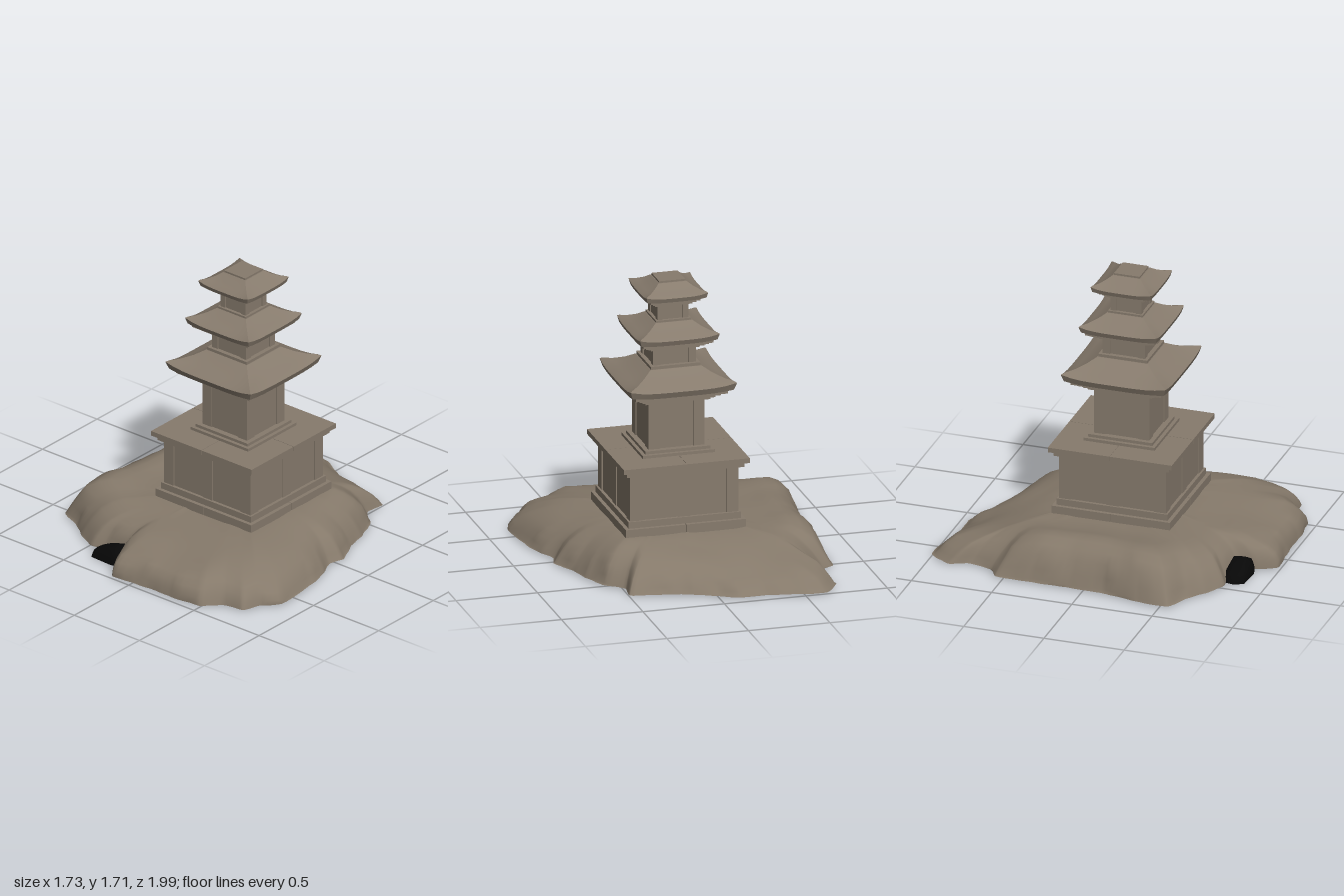
import * as THREE from 'three';
import { toCreasedNormals } from 'three/addons/utils/BufferGeometryUtils.js';

const CX = 0.048, CZ = 0.006; // the tower stands slightly off the middle of the rock
const stone = new THREE.MeshStandardMaterial({ color: 0x877b6d });
stone.name = 'weathered stone';
const rockStone = new THREE.MeshStandardMaterial({ color: 0x85796a, side: THREE.DoubleSide });
rockStone.name = 'rock';
const black = new THREE.MeshStandardMaterial({ color: 0x080808, side: THREE.DoubleSide });
black.name = 'hollow black';

const ramp = THREE.MathUtils.smoothstep;
const lerp = THREE.MathUtils.lerp;

function addMesh(parent, name, geometry, material = stone) {
  const mesh = new THREE.Mesh(geometry, material);
  mesh.name = name;
  parent.add(mesh);
  return mesh;
}

// Skin over closed rings of points, listed from the bottom up
function loft(rings) {
  const n = rings[0].length, pos = [], index = [];
  rings.forEach(r => r.forEach(p => pos.push(p.x, p.y, p.z)));
  for (let j = 0; j < rings.length - 1; j++) {
    for (let i = 0; i < n; i++) {
      const a = j * n + i, c = j * n + (i + 1) % n;
      index.push(a, a + n, c, c, a + n, c + n);
    }
  }
  const g = new THREE.BufferGeometry();
  g.setAttribute('position', new THREE.Float32BufferAttribute(pos, 3));
  g.setIndex(index);
  g.computeVertexNormals();
  return g;
}

// Square block between two heights
function slab(parent, name, half, y0, y1) {
  const m = addMesh(parent, name, new THREE.BoxGeometry(half * 2, y1 - y0, half * 2));
  m.position.y = (y0 + y1) / 2;
}

// Square course made of four stones with fine joints over a solid core
function jointedSlab(parent, name, half, y0, y1) {
  const joint = 0.0015, w = half - joint;
  slab(parent, name + 'Core', half - 0.006, y0 + 0.002, y1 - 0.002);
  for (const sx of [-1, 1]) for (const sz of [-1, 1]) {
    const m = addMesh(parent, name, new THREE.BoxGeometry(w, y1 - y0, w));
    m.position.set(sx * (joint + w / 2), (y0 + y1) / 2, sz * (joint + w / 2));
  }
}

// Storey with raised corner posts and, if asked, a middle post on each face
function storey(parent, name, half, y0, y1, post, middle) {
  const out = 0.007, y = (y0 + y1) / 2, h = y1 - y0;
  slab(parent, name + 'Walls', half - out, y0, y1);
  for (const sx of [-1, 1]) for (const sz of [-1, 1]) {
    const m = addMesh(parent, name + 'CornerPost', new THREE.BoxGeometry(post, h, post));
    m.position.set(sx * (half - post / 2), y, sz * (half - post / 2));
  }
  if (!middle) return;
  const bar = half * 2 - 0.002;
  addMesh(parent, name + 'MiddlePost', new THREE.BoxGeometry(post, h, bar)).position.y = y;
  addMesh(parent, name + 'MiddlePost', new THREE.BoxGeometry(bar, h, post)).position.y = y;
}

// Square ring whose corners lift
function squareRing(half, y, lift) {
  const n = 10, ring = [];
  for (let side = 0; side < 4; side++) {
    for (let i = 0; i < n; i++) {
      const u = -1 + 2 * i / n;
      const [x, z] = [[1, u], [-u, 1], [-1, -u], [u, -1]][side];
      ring.push(new THREE.Vector3(x * half, y + lift * Math.abs(u) ** 4, z * half));
    }
  }
  return ring;
}

// Curved hipped roof carried on stepped courses
function roof(parent, name, { wall, steps, eave, top, y0, y1, y2 }) {
  const stepH = (y1 - y0) / steps.length;
  steps.forEach((half, i) => slab(parent, name + 'Step', half, y0 + i * stepH, y0 + (i + 1) * stepH));
  const rise = y2 - y1, lip = rise * 0.28, run = eave - top;
  const g = loft([
    squareRing(wall, y1, 0),
    squareRing(eave * 0.955, y1, rise * 0.1),
    squareRing(eave, y1 + lip, rise * 0.18),
    squareRing(eave - run * 0.08, y1 + lip * 1.25, rise * 0.17),
    squareRing(eave - run * 0.35, y1 + rise * 0.5, rise * 0.08),
    squareRing(eave - run * 0.7, y1 + rise * 0.74, rise * 0.02),
    squareRing(top, y2, 0),
    squareRing(0, y2, 0),
  ]);
  addMesh(parent, name, toCreasedNormals(g, 0.5));
}

// Broad hollow rock under the tower
function rockGeometry() {
  const outline = [
    [-.63, -1], [-.52, -1], [-.3, -.95], [-.12, -.95], [0, -.89], [.15, -.81], [.3, -.77], [.5, -.73],
    [.49, -.6], [.6, -.5], [.66, -.35], [.7, -.2], [.77, -.05], [.74, .04], [.79, .15], [.83, .3],
    [.86, .62], [.77, .72], [.73, .83], [.6, .85], [.5, .95], [.3, .97], [.1, .97], [-.13, .99],
    [-.2, .88], [-.23, .77], [-.4, .76], [-.48, .77], [-.62, .7], [-.72, .62], [-.87, .55],
    [-.86, .35], [-.82, .15], [-.81, -.1], [-.81, -.35], [-.8, -.55], [-.72, -.6], [-.68, -.75], [-.73, -.87],
  ].map(([x, z]) => new THREE.Vector3(x, 0, z));
  const edge = new THREE.CatmullRomCurve3(outline, true, 'catmullrom', 0.2).getPoints(195).slice(0, -1);
  // Shrink of each ring and its share of the full height
  const levels = [[1, .04], [.99, .3], [.965, .56], [.925, .77], [.87, .9], [.8, .97], [.73, 1],
    [.65, 1], [.56, 1], [.45, 1], [.3, 1], [0, 1]];
  const height = (x, z) => {
    const left = ramp(-x, 0.2, 0.6) * (1 - 0.85 * ramp(Math.abs(z), 0.25, 0.7));
    const front = ramp(z, 0, 0.8) * (1 - 0.7 * ramp(x, 0.4, 0.75));
    const rim = 0.105 + 0.065 * front + 0.165 * left;
    const away = Math.max(Math.abs(x - CX), Math.abs(z - CZ));
    const t = THREE.MathUtils.clamp((away - 0.38) / 0.47, 0, 1);
    const lumps = 0.012 * Math.sin(x * 9 + z * 4) * Math.sin(z * 11 - x * 3);
    return lerp(0.238, rim + lumps, t);
  };
  return loft(levels.map(([s, share]) => edge.map(p => {
    const a = Math.atan2(p.z, p.x);
    const bulge = s < 1 && s > 0.82 ? 0.01 * Math.sin(a * 19 + s * 30) * Math.sin(a * 7) : 0;
    const chips = s > 0.9 ? 0.005 * Math.sin(a * 37) * Math.sin(a * 11 + 1) : 0;
    const x = p.x * (s + bulge + chips), z = p.z * (s + bulge + chips);
    // The front bank is steep, the other sides slope gently
    const steep = ramp(z, 0.3, 0.8) * ramp(x, -0.55, -0.15);
    const bank = share ** lerp(1.9, 0.95, steep);
    return new THREE.Vector3(x, Math.max(0.01, height(x, z) * bank), z);
  })));
}

// Irregular low hood, higher toward the model's left
function hollowGeometry() {
  const foot = [[-.38, .72], [-.2, .7], [-.18, .8], [-.195, .86], [-.25, .873], [-.4, .865], [-.43, .81], [-.42, .76]];
  const mid = new THREE.Vector2(-0.28, 0.79);
  return loft([[1, 0], [0.97, 0.35], [0.8, 0.85], [0.45, 1], [0, 1]].map(([s, share]) =>
    foot.map(([fx, fz]) => {
      const x = lerp(mid.x, fx, s), z = lerp(mid.y, fz, s);
      const crest = 0.05 + 0.045 * ramp(x, -0.42, -0.24);
      return new THREE.Vector3(x, crest * share, z);
    })));
}

export function createModel() {
  const model = new THREE.Group();
  model.name = 'stonePagodaOnRock';
  addMesh(model, 'rock', rockGeometry(), rockStone);
  addMesh(model, 'hollow', hollowGeometry(), black);

  const tower = new THREE.Group();
  tower.name = 'tower';
  tower.position.set(CX, 0, CZ);
  model.add(tower);

  // Two-stepped plinth, base storey and wide cap
  jointedSlab(tower, 'plinth', 0.368, 0.228, 0.285);
  slab(tower, 'plinthStep', 0.345, 0.285, 0.325);
  storey(tower, 'base', 0.333, 0.325, 0.61, 0.075, true);
  slab(tower, 'capUnderside', 0.36, 0.607, 0.637);
  jointedSlab(tower, 'cap', 0.386, 0.637, 0.667);
  slab(tower, 'capStep', 0.222, 0.66, 0.685);
  slab(tower, 'capStep', 0.2, 0.685, 0.703);

  // First storey and roof
  storey(tower, 'firstStorey', 0.172, 0.7, 0.995, 0.07, false);
  roof(tower, 'firstRoof', {
    wall: 0.17, steps: [0.2, 0.224, 0.25, 0.282], eave: 0.326, top: 0.157, y0: 0.992, y1: 1.064, y2: 1.192,
  });
  slab(tower, 'firstRoofTop', 0.152, 1.185, 1.21);

  // Second storey and roof
  storey(tower, 'secondStorey', 0.132, 1.205, 1.31, 0.045, false);
  roof(tower, 'secondRoof', {
    wall: 0.13, steps: [0.15, 0.171, 0.193, 0.215], eave: 0.244, top: 0.113, y0: 1.307, y1: 1.361, y2: 1.466,
  });
  slab(tower, 'secondRoofTop', 0.108, 1.46, 1.478);

  // Third storey and roof
  storey(tower, 'thirdStorey', 0.096, 1.475, 1.572, 0.035, false);
  roof(tower, 'thirdRoof', {
    wall: 0.095, steps: [0.115, 0.133, 0.152], eave: 0.189, top: 0.086, y0: 1.568, y1: 1.611, y2: 1.702,
  });
  slab(tower, 'finialBase', 0.08, 1.695, 1.713);
  return model;
}
